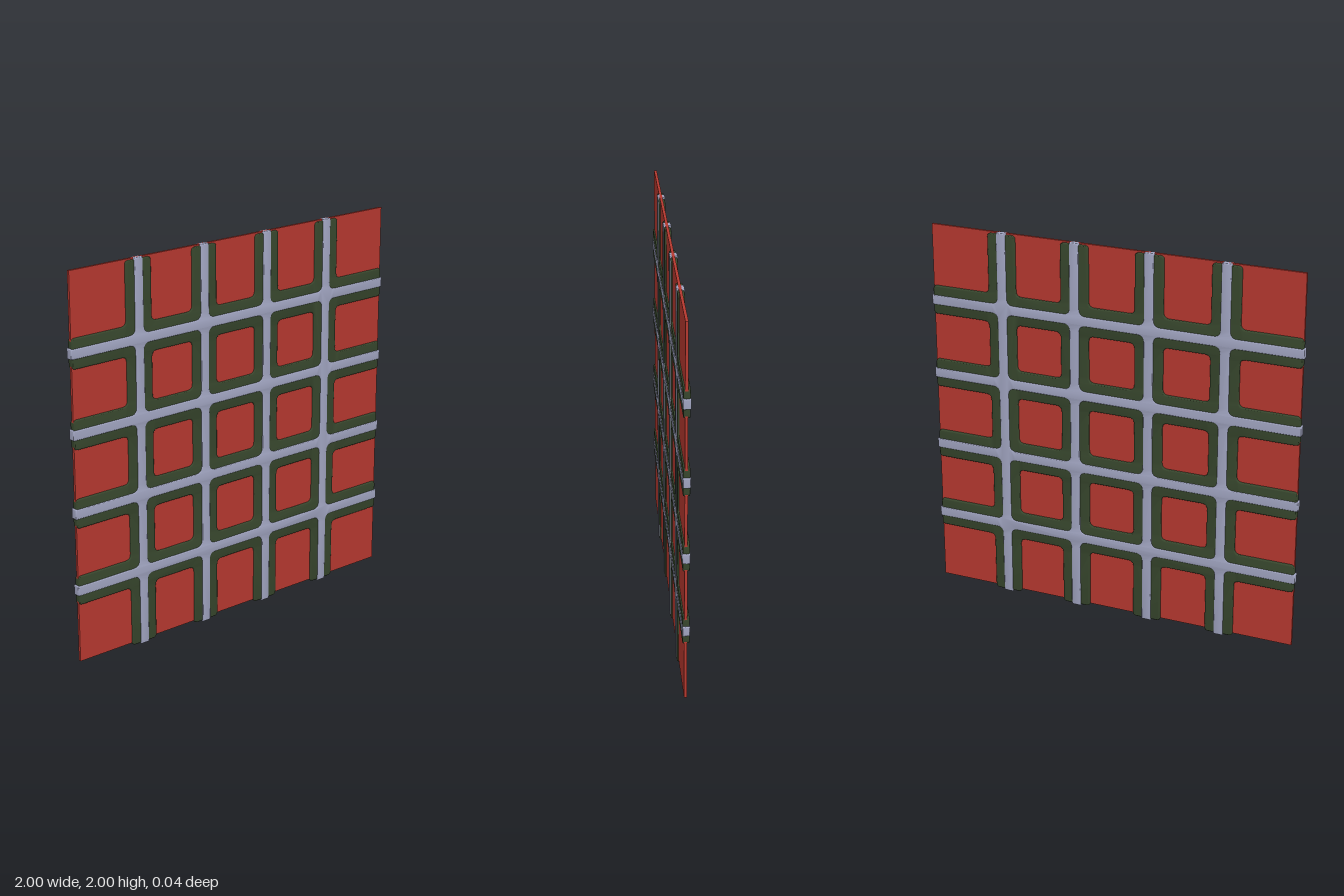
import * as THREE from 'three';
import { toCreasedNormals } from 'three/addons/utils/BufferGeometryUtils.js';

const BARS = [-0.6, -0.2, 0.2, 0.6];

// Closed outline through points [x, y, cornerRadius], corners rounded
function rounded(path, pts) {
  pts.forEach(([x, y, r], i) => {
    const p = new THREE.Vector2(x, y);
    const toward = ([a, b]) => p.clone().add(new THREE.Vector2(a, b).sub(p).setLength(r));
    const a = toward(pts[(i + pts.length - 1) % pts.length]);
    const b = toward(pts[(i + 1) % pts.length]);
    if (i) path.lineTo(a.x, a.y); else path.moveTo(a.x, a.y);
    path.quadraticCurveTo(x, y, b.x, b.y);
  });
  path.closePath();
  return path;
}

// Four bars crossing four bars, with filleted crossings
function lattice(halfWidth, reach, fillet, endRadius, halfDepth, bevel) {
  const w = halfWidth, inner = -0.6 - w, outline = [];
  for (let side = 0; side < 4; side++) {
    const pts = [];
    for (const b of BARS) {
      pts.push([b - w, inner, fillet], [b - w, -reach, endRadius],
        [b + w, -reach, endRadius], [b + w, inner, fillet]);
    }
    pts.pop(); // the next side starts at this corner
    for (let [x, y, r] of pts) {
      for (let k = 0; k < side; k++) [x, y] = [-y, x];
      outline.push([x, y, r]);
    }
  }
  const shape = rounded(new THREE.Shape(), outline);
  const h = 0.2 - w;
  for (const cx of [-0.4, 0, 0.4]) {
    for (const cy of [-0.4, 0, 0.4]) {
      shape.holes.push(rounded(new THREE.Path(), [
        [cx - h, cy - h, fillet], [cx - h, cy + h, fillet],
        [cx + h, cy + h, fillet], [cx + h, cy - h, fillet]]));
    }
  }
  const depth = 2 * (halfDepth - bevel);
  const geo = new THREE.ExtrudeGeometry(shape, {
    depth, curveSegments: 6, bevelEnabled: true, bevelSegments: 3,
    bevelSize: bevel, bevelThickness: bevel, bevelOffset: -bevel,
  });
  geo.translate(0, 1, -depth / 2);
  return toCreasedNormals(geo, 0.7);
}

export function createModel() {
  const group = new THREE.Group();
  const add = (name, geometry, color) => {
    const mesh = new THREE.Mesh(geometry, new THREE.MeshStandardMaterial({ color }));
    mesh.name = name;
    group.add(mesh);
  };

  // Thin backing sheet, slightly short of the lower edge
  const sheet = new THREE.BoxGeometry(1.985, 1.98, 0.014);
  sheet.translate(0, 1.01, 0.002);
  add('panel', sheet, 0xb5382f);

  // Wide dark bands with the narrow raised bars along their middles
  add('bands', lattice(0.076, 0.993, 0.03, 0.02, 0.0165, 0.006), 0x36452c);
  add('bars', lattice(0.026, 1, 0.035, 0.005, 0.0195, 0.006), 0xa0a4c0);
  return group;
}
